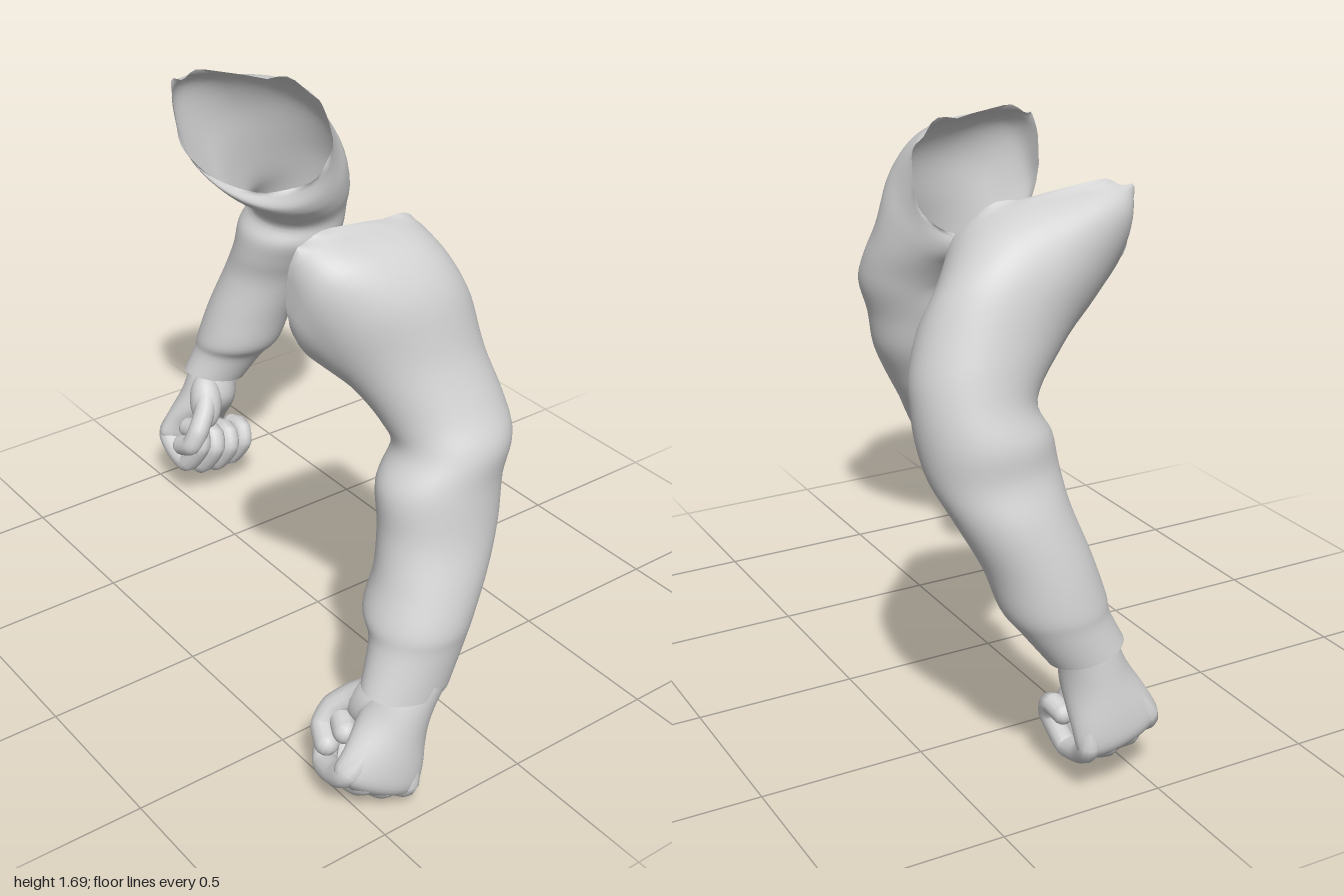
import * as THREE from 'three';

const cloth = new THREE.MeshStandardMaterial({ color: 0xd2d2d2, side: THREE.DoubleSide });
cloth.name = 'plain grey';

// Cross-section rows: outer x, inner x, front z, back z, height, tilt outward, tilt forward, yaw
const LEFT_SLEEVE = [
  [0.53, 0.485, 0.475, 0.00, 1.46, 0.20, 0.01, 0.0],
  [0.65, 0.475, 0.465, -0.02, 1.42, 0.19, 0.01, 0.0],
  [0.735, 0.49, 0.41, -0.045, 1.35, 0.15, 0, 0],
  [0.785, 0.53, 0.335, -0.065, 1.24, 0.08, 0, 0],
  [0.85, 0.57, 0.28, -0.08, 1.14, 0.04, -0.01, 0],
  [0.905, 0.595, 0.27, -0.08, 1.06, 0.02, 0, 0],
  [0.915, 0.61, 0.335, -0.045, 0.96, 0.01, 0.01, 0],
  [0.935, 0.635, 0.345, -0.015, 0.83, 0, 0.01, 0],
  [0.965, 0.665, 0.375, 0.045, 0.71, 0, 0.01, 0],
  [0.985, 0.675, 0.42, 0.105, 0.60, 0, 0.01, 0],
  [0.98, 0.735, 0.43, 0.14, 0.53, 0, 0.01, 0],
  [0.975, 0.78, 0.48, 0.20, 0.41, -0.015, 0.01, 0],
];
const RIGHT_SLEEVE = [
  [0.59, 0.49, 0.095, -0.39, 1.48, 0.185, 0.04, 0.085],
  [0.70, 0.46, 0.06, -0.46, 1.43, 0.19, 0.03, 0.055],
  [0.765, 0.46, -0.03, -0.53, 1.35, 0.15, 0, 0.025],
  [0.80, 0.485, -0.14, -0.58, 1.24, 0.08, 0, 0],
  [0.83, 0.525, -0.24, -0.59, 1.14, 0.04, -0.01, 0],
  [0.87, 0.53, -0.21, -0.585, 1.05, 0.02, 0, 0],
  [0.88, 0.57, -0.20, -0.565, 0.96, 0.01, 0.01, 0],
  [0.92, 0.62, -0.19, -0.52, 0.86, 0, 0.01, 0],
  [0.955, 0.665, -0.145, -0.45, 0.72, 0, 0.01, 0],
  [0.975, 0.695, -0.11, -0.41, 0.60, 0, 0.01, 0],
  [0.975, 0.745, -0.105, -0.365, 0.54, 0, 0.015, 0],
  [0.98, 0.785, -0.07, -0.29, 0.45, 0, 0.025, 0],
];
const PALM = [
  [0.07, -0.07, 0.05, -0.085, 0.03, 0, 0, 0],
  [0.082, -0.085, 0.08, -0.085, -0.04, 0, 0, 0],
  [0.095, -0.095, 0.10, -0.10, -0.13, 0, 0, 0],
  [0.112, -0.02, 0.13, -0.125, -0.24, 0, 0, 0],
  [0.11, 0.005, 0.135, -0.125, -0.31, 0, 0, 0],
  [0.07, 0.045, 0.06, -0.06, -0.355, 0, 0, 0],
];
// Side profile shared by the curled fingers
const FINGER = [[0.045, -0.19], [0.066, -0.31], [0.01, -0.358], [-0.07, -0.375],
  [-0.125, -0.29], [-0.1, -0.24], [-0.045, -0.25]];

// Smooth interpolation of one column between rows
function spline(rows, f, k) {
  const n = rows.length - 1;
  const i = Math.min(Math.floor(f), n - 1), t = f - i;
  const p = (j) => rows[Math.max(0, Math.min(n, j))][k];
  const a = p(i - 1), b = p(i), c = p(i + 1), d = p(i + 2);
  return b + 0.5 * t * (c - a + t * (2 * a - 5 * b + 4 * c - d + t * (3 * (b - c) + d - a)));
}

// Skin a surface over the rows; an open armhole gets a squarer, frayed top
function loft(name, rows, armhole = false, steps = 5, sides = 48) {
  const pos = [], index = [], total = (rows.length - 1) * steps;
  const power = (v, e) => Math.sign(v) * Math.abs(v) ** e;
  for (let i = 0; i <= total; i++) {
    const f = i / steps;
    const [ox, ix, fz, bz, y, tx, tz, yaw] = rows[0].map((_, k) => spline(rows, f, k));
    const square = armhole ? Math.max(0, 1 - f / 2.5) : 0;
    for (let j = 0; j < sides; j++) {
      const t = (j / sides) * Math.PI * 2;
      let c = Math.cos(t), s = Math.sin(t);
      if (c > 0) {
        // The front upper corner is the sharpest
        const e = 1 - (s > 0 ? 0.65 : 0.35) * square;
        c = power(c, e);
        s = power(s, e);
      }
      const fray = armhole && i === 0 ? 0.012 * Math.sin(j * 7.3) : 0;
      pos.push(
        (ox + ix) / 2 + ((ox - ix) / 2) * c + yaw * s + fray * 0.6,
        y + tx * c + tz * s + fray * Math.max(0, c),
        (fz + bz) / 2 + ((fz - bz) / 2) * s
      );
      if (i < total) {
        const a = i * sides + j, b = i * sides + ((j + 1) % sides);
        index.push(a, b, a + sides, b, b + sides, a + sides);
      }
    }
  }
  const g = new THREE.BufferGeometry();
  g.setAttribute('position', new THREE.Float32BufferAttribute(pos, 3));
  g.setIndex(index);
  g.computeVertexNormals();
  const m = new THREE.Mesh(g, cloth);
  m.name = name;
  return m;
}

// A rounded digit along a smooth path
function digit(name, points, radius) {
  const group = new THREE.Group();
  group.name = name;
  const path = new THREE.CatmullRomCurve3(points.map((p) => new THREE.Vector3(...p)), false, 'catmullrom', 0.3);
  const tube = new THREE.Mesh(new THREE.TubeGeometry(path, 32, radius, 12), cloth);
  tube.name = name + 'Shaft';
  const tip = new THREE.Mesh(new THREE.SphereGeometry(radius, 12, 10), cloth);
  tip.name = name + 'Tip';
  tip.position.copy(path.getPoint(1));
  group.add(tube, tip);
  return group;
}

function createHand() {
  const hand = new THREE.Group();
  hand.name = 'hand';
  hand.add(loft('palm', PALM, false, 4, 28));
  // Four fingers fan out of the palm and curl inwards from the knuckle row
  [['indexFinger', 0.098, 0.014, 0.037], ['middleFinger', 0.03, 0, 0.038],
    ['ringFinger', -0.037, 0, 0.036], ['littleFinger', -0.1, 0.012, 0.032]].forEach(([name, z, dy, r]) => {
    hand.add(digit(name, FINGER.map(([x, y], i) => [x, y + dy, i ? z : z * 0.55]), r));
  });
  // Fleshy thumb base, then a thumb reaching down and folding across the first finger
  const base = new THREE.Mesh(new THREE.SphereGeometry(1, 20, 14), cloth);
  base.name = 'thumbBase';
  base.position.set(-0.065, -0.125, 0.06);
  base.rotation.z = -0.4;
  base.scale.set(0.06, 0.1, 0.055);
  hand.add(base);
  hand.add(digit('thumb', [[-0.06, -0.08, 0.06], [-0.105, -0.15, 0.09], [-0.125, -0.215, 0.12],
    [-0.115, -0.27, 0.13], [-0.06, -0.295, 0.125]], 0.037));
  return hand;
}

function createArm(name, rows, wrist, pitch, yaw) {
  const arm = new THREE.Group();
  arm.name = name;
  arm.add(loft('sleeve', rows, true));
  // Turned-in underside closes the cuff around the wrist
  const [ox, ix, fz, bz, y, tx, tz] = rows[rows.length - 1];
  const inner = [ox - 0.06, ix + 0.06, fz - 0.08, bz + 0.08, y + 0.02, 0, 0, 0];
  arm.add(loft('cuffLining', [[ox, ix, fz, bz, y, tx, tz, 0], inner], false, 1));
  const hand = createHand();
  hand.position.set(...wrist);
  hand.rotation.set(pitch, yaw, 0, 'YXZ');
  arm.add(hand);
  return arm;
}

export function createModel() {
  const model = new THREE.Group();
  model.name = 'pairOfArms';
  const left = createArm('leftArm', LEFT_SLEEVE, [0.9, 0.415, 0.325], -0.44, -0.33);
  const right = createArm('rightArm', RIGHT_SLEEVE, [0.884, 0.49, -0.18], -0.24, -0.05);
  right.scale.x = -1;
  model.add(left, right);
  return model;
}
